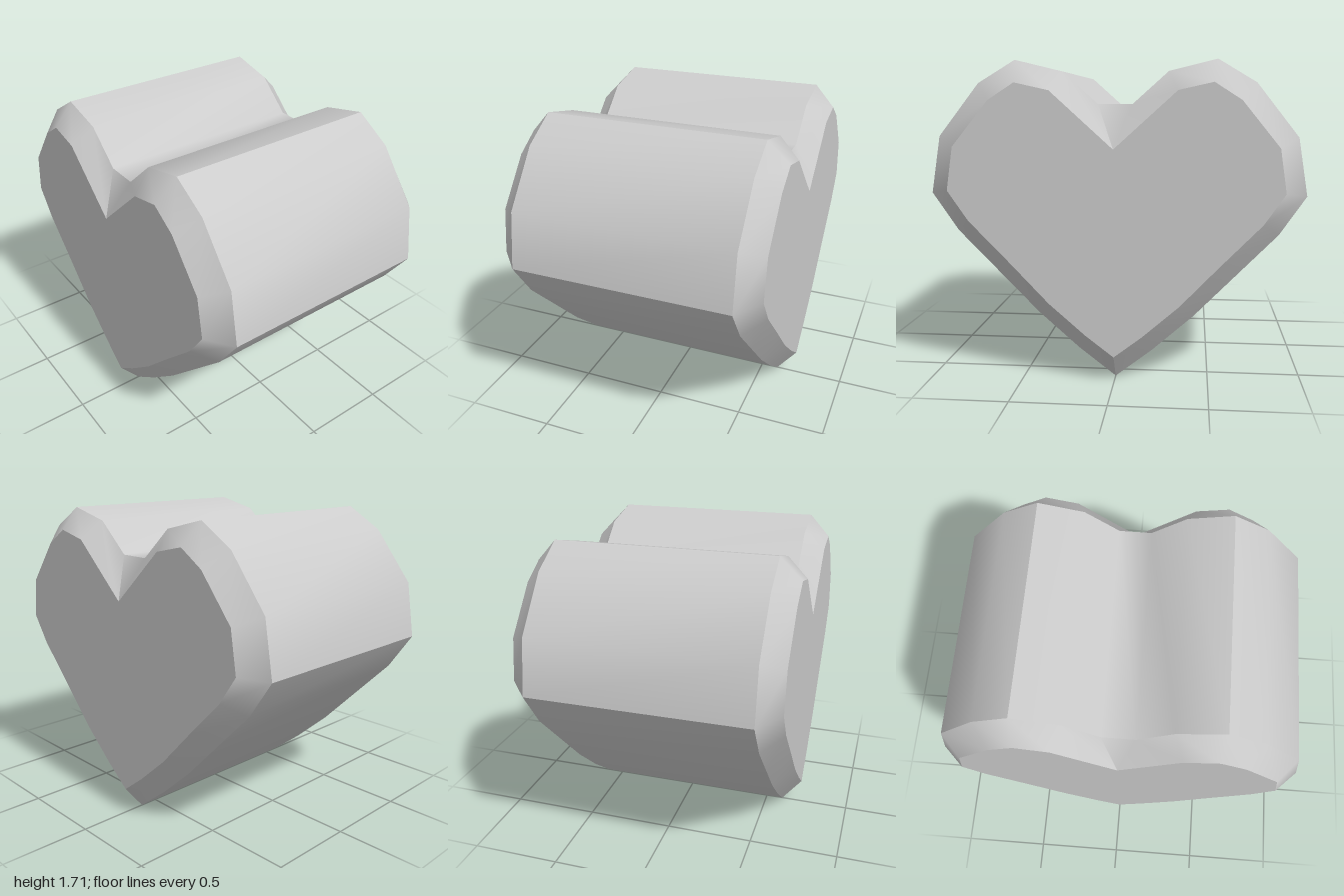
import * as THREE from 'three';

const material = new THREE.MeshStandardMaterial({ color: 0xcccccc });

// Right half of each heart outline, from the bottom tip to the notch
const OUTER = [[0, 0], [0.2, 0.155], [0.42, 0.35], [0.635, 0.57], [0.86, 0.8], [1, 1.005],
  [0.95, 1.31], [0.73, 1.59], [0.53, 1.71], [0.28, 1.65], [0.09, 1.48]];
const INNER = [[0, 0.145], [0.15, 0.26], [0.345, 0.43], [0.55, 0.645], [0.77, 0.87], [0.88, 1.03],
  [0.845, 1.26], [0.65, 1.5], [0.51, 1.59], [0.33, 1.55], [0, 1.25]];

const SIDE_Z = 0.6;
const FACE_Z = 0.715;

// Full counterclockwise outline, starting and ending at the tip
function mirrored(half) {
  return [...half, ...half.map(([x, y]) => [-x, y]).reverse()];
}

// Smooth band between two outlines at depths zA (back) and zB (front)
function band(name, a, zA, b, zB) {
  const positions = [];
  const index = [];
  a.forEach(([x, y], i) => {
    positions.push(x, y, zA, b[i][0], b[i][1], zB);
    if (i < a.length - 1) {
      const k = i * 2;
      index.push(k, k + 2, k + 1, k + 2, k + 3, k + 1);
    }
  });
  const geometry = new THREE.BufferGeometry();
  geometry.setAttribute('position', new THREE.Float32BufferAttribute(positions, 3));
  geometry.setIndex(index);
  geometry.computeVertexNormals();
  const mesh = new THREE.Mesh(geometry, material);
  mesh.name = name;
  return mesh;
}

export function createModel() {
  const group = new THREE.Group();
  group.name = 'heartBlock';
  const outer = mirrored(OUTER);
  const inner = mirrored(INNER);

  // Side walls, split where the surface has a hard crease
  const creases = [0, 5, 8, 13, 16, 21];
  const names = ['leftLowerWall', 'leftLobeWall', 'notchWall', 'rightLobeWall', 'rightLowerWall'];
  names.forEach((name, i) => {
    const run = outer.slice(creases[i], creases[i + 1] + 1);
    group.add(band(name, run, -SIDE_Z, run, SIDE_Z));
  });

  // Bevels
  group.add(band('frontBevel', outer, SIDE_Z, inner, FACE_Z));
  group.add(band('backBevel', inner, -FACE_Z, outer, -SIDE_Z));

  // Flat heart faces, without the doubled tip and notch points
  const outline = inner.filter(([x], i) => x !== 0 || i < 11);
  const faceGeometry = new THREE.ShapeGeometry(
    new THREE.Shape(outline.map(([x, y]) => new THREE.Vector2(x, y))));
  for (const side of [1, -1]) {
    const face = new THREE.Mesh(faceGeometry, material);
    face.name = side > 0 ? 'frontFace' : 'backFace';
    face.position.z = side * FACE_Z;
    if (side < 0) face.rotation.y = Math.PI;
    group.add(face);
  }
  return group;
}
